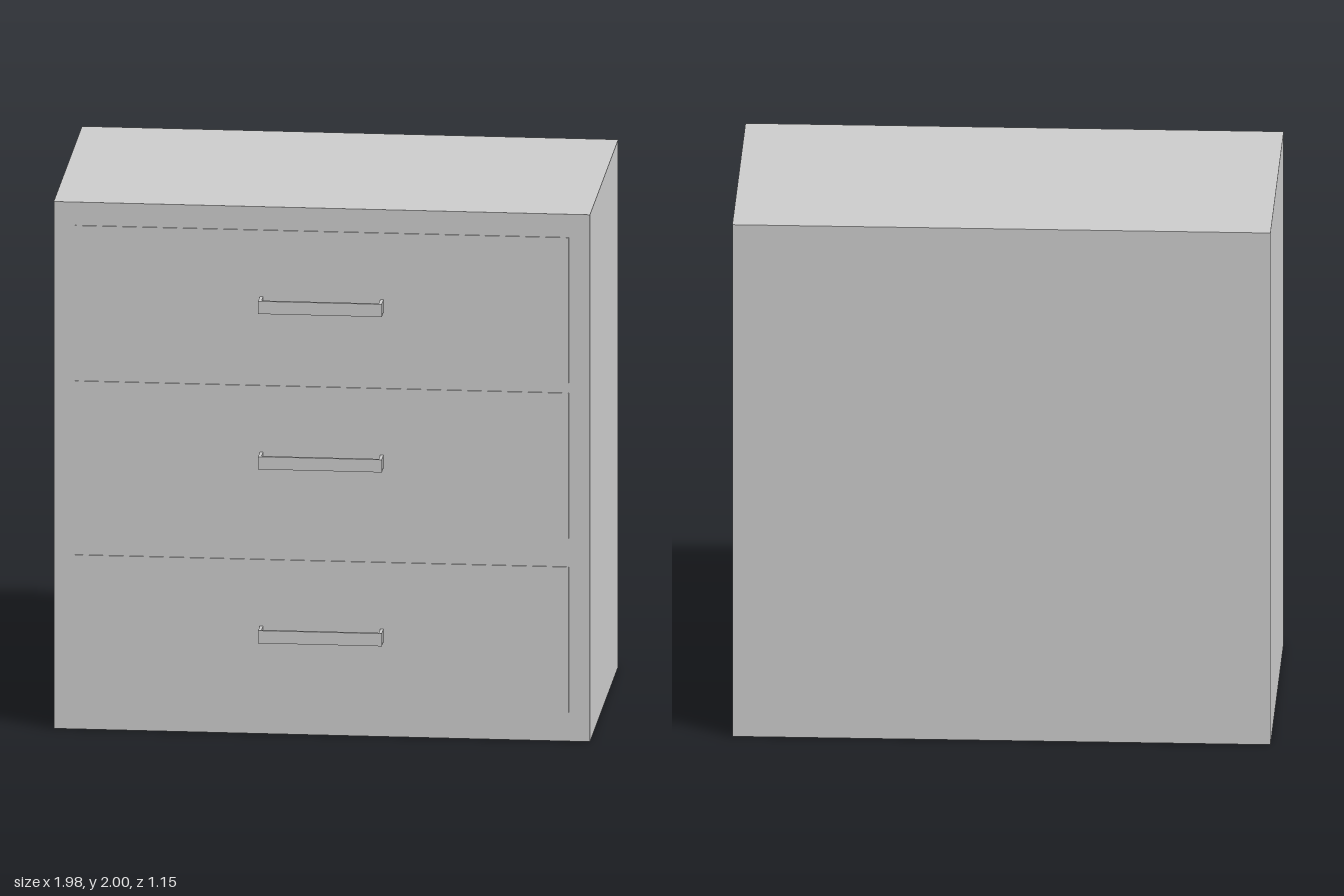
import * as THREE from 'three';

const material = new THREE.MeshStandardMaterial({ color: 0xcccccc, flatShading: true });

// Box given by its minimum and maximum corners
function box(name, [x0, y0, z0], [x1, y1, z1]) {
  const mesh = new THREE.Mesh(new THREE.BoxGeometry(x1 - x0, y1 - y0, z1 - z0), material);
  mesh.position.set((x0 + x1) / 2, (y0 + y1) / 2, (z0 + z1) / 2);
  mesh.name = name;
  return mesh;
}

const FRONT = 0.503; // front plane of the cabinet
const PANEL = 0.508; // front plane of the drawers
const GRIP = 0.576; // front plane of the handles

// Square U-shaped pull, extruded upwards
function createHandle(y) {
  const w = 0.228, t = 0.012, h = 0.048;
  const outline = [
    [-w, FRONT], [-w + t, FRONT], [-w + t, GRIP - t], [w - t, GRIP - t],
    [w - t, FRONT], [w, FRONT], [w, GRIP], [-w, GRIP],
  ].map(([x, z]) => new THREE.Vector2(x, -z));
  const geometry = new THREE.ExtrudeGeometry(new THREE.Shape(outline), { depth: h, bevelEnabled: false });
  geometry.rotateX(-Math.PI / 2);
  const handle = new THREE.Mesh(geometry, material);
  handle.name = 'handle';
  handle.position.y = y - h / 2;
  return handle;
}

export function createModel() {
  const model = new THREE.Group();
  model.name = 'chestOfDrawers';
  model.add(box('cabinet', [-0.988, 0, -0.576], [0.988, 2, FRONT]));

  // Three drawers, bottom to top, each with a centred handle
  for (const bottom of [0.11, 0.77, 1.36]) {
    const drawer = new THREE.Group();
    drawer.name = 'drawer';
    drawer.add(box('drawerFront', [-0.91, bottom, FRONT - 0.02], [0.91, bottom + 0.552, PANEL]));
    drawer.add(createHandle(bottom + 0.276));
    model.add(drawer);
  }
  return model;
}
